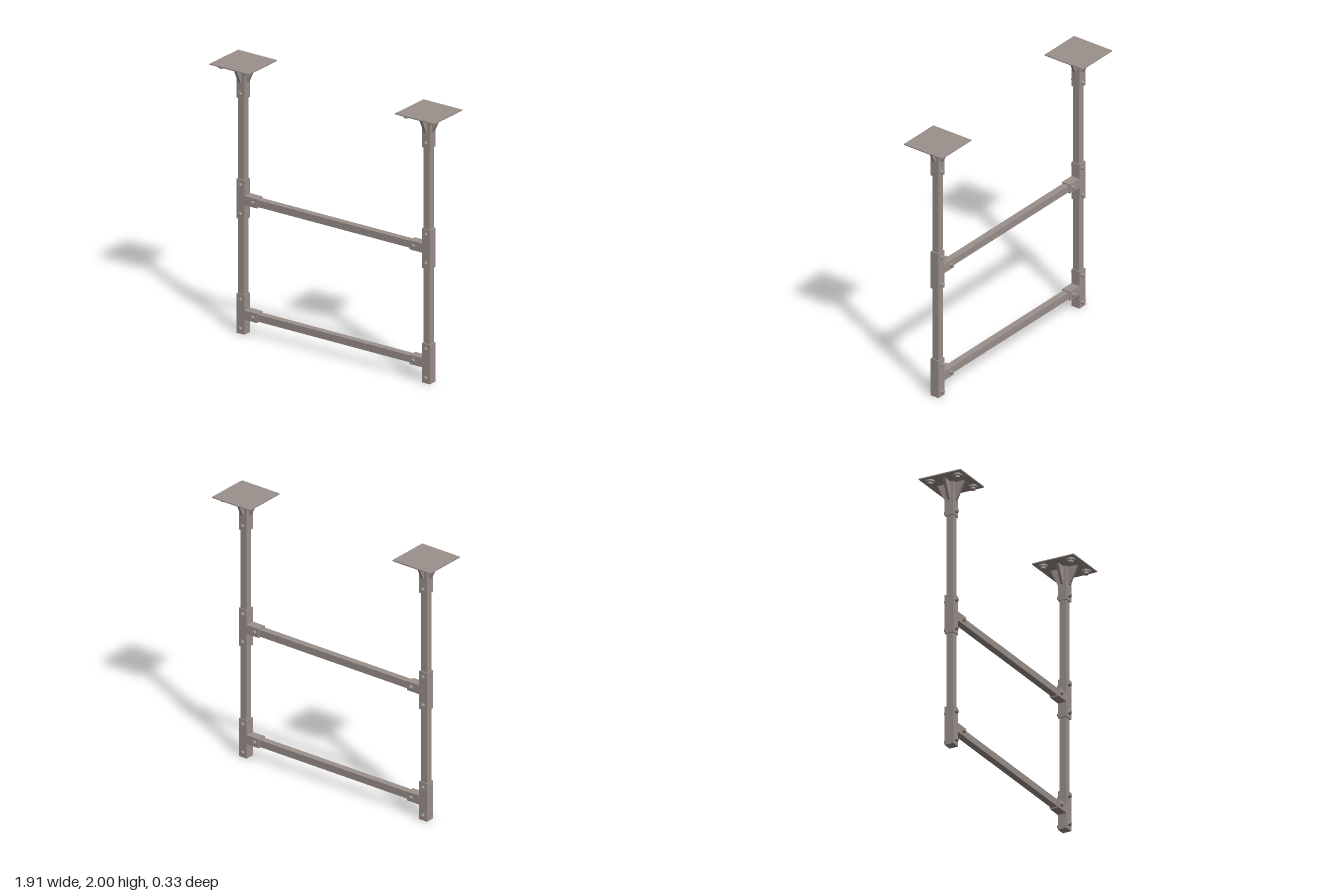
import * as THREE from 'three';

const steel = new THREE.MeshStandardMaterial({ color: 0x9c918c });
steel.name = 'warm grey steel';

const POST_X = 0.79;   // post centre line
const TUBE = 0.052;    // square tube side
const SLEEVE = 0.068;  // square fitting side

function add(parent, name, geometry, x = 0, y = 0, z = 0) {
  const mesh = new THREE.Mesh(geometry, steel);
  mesh.name = name;
  mesh.position.set(x, y, z);
  parent.add(mesh);
  return mesh;
}

function polygon(points) {
  return new THREE.Shape(points.map(([x, y]) => new THREE.Vector2(x, y)));
}

// Round-headed bolt ends on the front and back of a fitting
function addBolt(parent, x, y) {
  for (const s of [1, -1]) {
    const head = add(parent, 'fittingBolt', new THREE.CylinderGeometry(0.013, 0.015, 0.02, 16), x, y, s * 0.043);
    head.rotation.x = s * Math.PI / 2;
  }
}

// T-shaped socket; the branch points along +x
function makeTee() {
  const tee = new THREE.Group();
  tee.name = 'teeFitting';
  const h = SLEEVE / 2, len = 0.145, reach = 0.14;
  const shape = polygon([[-h, -len], [h, -len], [h, -h], [reach, -h], [reach, h], [h, h], [h, len], [-h, len]]);
  const body = new THREE.ExtrudeGeometry(shape, { depth: SLEEVE, bevelEnabled: false });
  body.translate(0, 0, -h);
  add(tee, 'teeSocket', body);
  addBolt(tee, 0, 0.107);
  addBolt(tee, 0, -0.107);
  addBolt(tee, 0.105, 0);
  return tee;
}

// Ceiling flange: plate, socket, four gussets and four anchor bolts
function makeFlange() {
  const flange = new THREE.Group();
  flange.name = 'ceilingFlange';
  add(flange, 'mountingPlate', new THREE.BoxGeometry(0.33, 0.008, 0.33), 0, 1.996, 0);
  add(flange, 'flangeSocket', new THREE.BoxGeometry(SLEEVE, 0.254, SLEEVE), 0, 1.867, 0);
  addBolt(flange, 0, 1.775);

  const t = 0.02;
  const rib = polygon([[0.03, 1.86], [0.045, 1.86], [0.105, 1.993], [0.03, 1.993]]);
  const ribGeometry = new THREE.ExtrudeGeometry(rib, { depth: t, bevelEnabled: false });
  ribGeometry.translate(0, 0, -t / 2);
  for (let i = 0; i < 4; i++) {
    add(flange, 'gusset', ribGeometry).rotation.y = i * Math.PI / 2;
  }

  for (const x of [-0.108, 0.108]) {
    for (const z of [-0.108, 0.108]) {
      add(flange, 'anchorWasher', new THREE.CylinderGeometry(0.034, 0.034, 0.012, 24), x, 1.986, z);
      add(flange, 'anchorBoltHead', new THREE.CylinderGeometry(0.022, 0.022, 0.016, 6), x, 1.973, z);
    }
  }
  return flange;
}

export function createModel() {
  const model = new THREE.Group();
  model.name = 'hangingFrame';
  const levels = [0.145, 0.995];

  for (const side of [1, -1]) {
    const leg = new THREE.Group();
    leg.name = side > 0 ? 'leftPost' : 'rightPost';
    leg.position.x = side * POST_X;
    // Turned half way so that each branch points inwards
    leg.rotation.y = side > 0 ? Math.PI : 0;
    add(leg, 'postTube', new THREE.BoxGeometry(TUBE, 1.95, TUBE), 0, 0.98, 0);
    for (const y of levels) {
      const tee = makeTee();
      tee.position.y = y + (y < 0.5 ? 0.005 : 0);
      leg.add(tee);
    }
    leg.add(makeFlange());
    model.add(leg);
  }

  // Horizontal rails between the tees
  for (const y of levels) {
    add(model, 'crossRail', new THREE.BoxGeometry(1.4, TUBE, TUBE - 0.002), 0, y + (y < 0.5 ? 0.005 : 0), 0);
  }

  // Stand exactly on the ground plane
  const box = new THREE.Box3().setFromObject(model);
  model.position.y = -box.min.y;
  return model;
}
